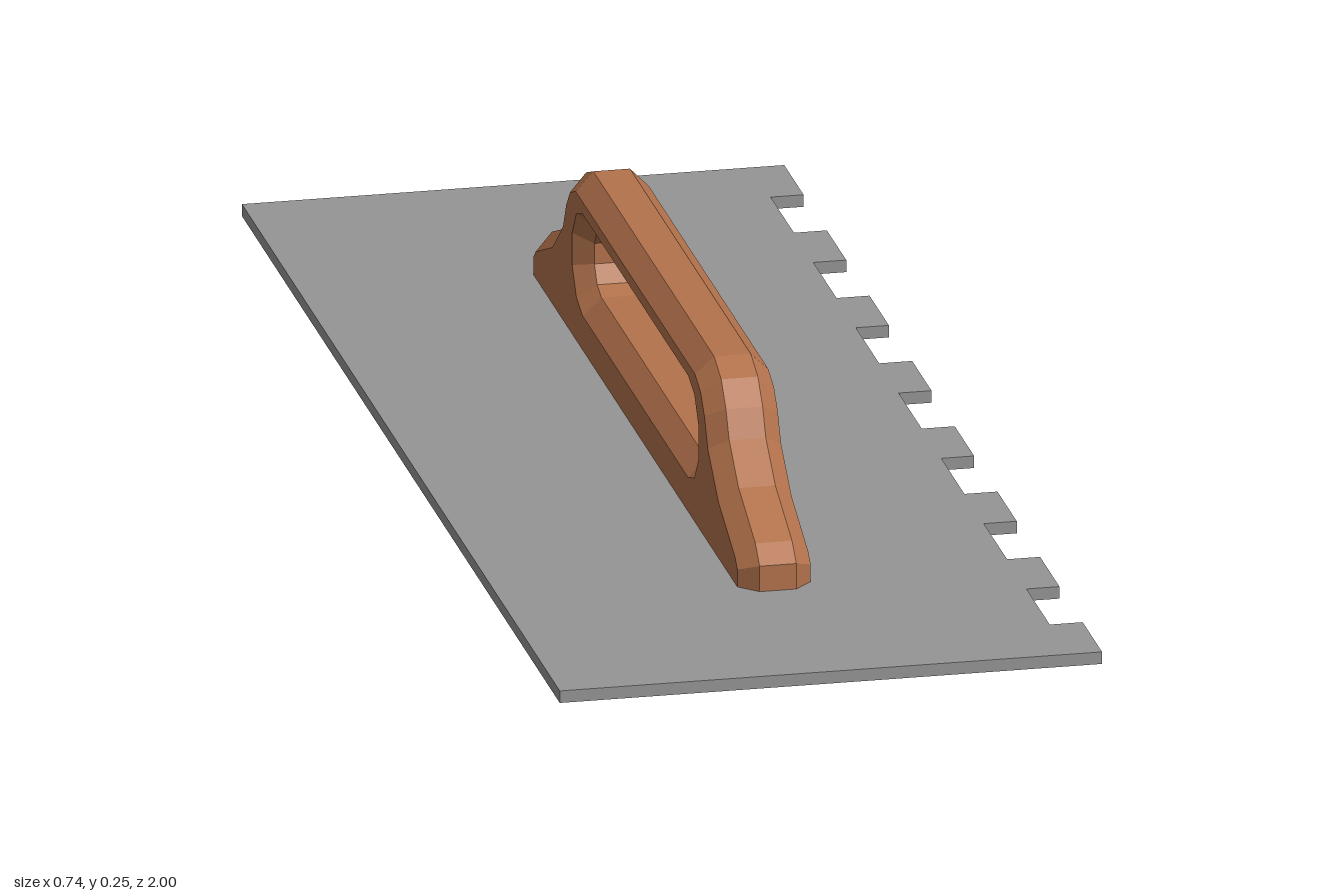
import * as THREE from 'three';

const PLATE_H = 0.017;

// Thin plate with square notches cut along its left (+x) edge
function makePlate() {
  const edge = 0.37, notchX = 0.325, teeth = 8, tooth = 0.122;
  const pitch = (2 - tooth) / (teeth - 1);
  const shape = new THREE.Shape();
  shape.moveTo(-edge, -1);
  for (let i = 0; i < teeth; i++) {
    const z = -1 + i * pitch;
    if (i > 0) shape.lineTo(notchX, z);
    shape.lineTo(edge, z);
    shape.lineTo(edge, z + tooth);
    if (i < teeth - 1) shape.lineTo(notchX, z + tooth);
  }
  shape.lineTo(-edge, 1);
  shape.closePath();
  const geo = new THREE.ExtrudeGeometry(shape, { depth: PLATE_H, bevelEnabled: false });
  geo.rotateX(Math.PI / 2).translate(0, PLATE_H, 0);
  const mesh = new THREE.Mesh(geo, new THREE.MeshStandardMaterial({ color: 0x959595, flatShading: true }));
  mesh.name = 'notchedPlate';
  return mesh;
}

// Chamfered handle: mirrored side profile with a slot for the fingers
function makeHandle() {
  const bevel = 0.025, foot = 0.009;
  const half = [
    [0.667, foot - bevel], [0.667, 0.053], [0.64, 0.076], [0.535, 0.118],
    [0.475, 0.165], [0.455, 0.202], [0.425, 0.234], [0.38, 0.251],
  ];
  const mirrored = half.map(([z, y]) => [-z, y]).reverse();
  const shape = new THREE.Shape([...half, ...mirrored].map(([z, y]) => new THREE.Vector2(z, y)));

  // Slot with faceted round ends
  const r = 0.047, slotY = 0.137, slotZ = 0.328, steps = 5;
  const slot = [];
  for (const side of [1, -1]) {
    for (let i = 0; i <= steps; i++) {
      const a = -Math.PI / 2 + (i / steps) * Math.PI;
      slot.push(new THREE.Vector2(side * (slotZ + r * Math.cos(a)), slotY + side * r * Math.sin(a)));
    }
  }
  shape.holes.push(new THREE.Path(slot));

  const depth = 0.05;
  const geo = new THREE.ExtrudeGeometry(shape, {
    depth, bevelEnabled: true, bevelSegments: 1,
    bevelSize: bevel, bevelThickness: bevel, bevelOffset: -bevel,
  });
  geo.translate(0, 0, -depth / 2).rotateY(-Math.PI / 2);

  // Flatten the underside so the handle seats in the plate
  const pos = geo.attributes.position;
  for (let i = 0; i < pos.count; i++) pos.setY(i, Math.max(pos.getY(i), foot));
  geo.computeVertexNormals();

  const mesh = new THREE.Mesh(geo, new THREE.MeshStandardMaterial({ color: 0xb3724c, flatShading: true }));
  mesh.name = 'handle';
  return mesh;
}

export function createModel() {
  const group = new THREE.Group();
  group.name = 'notchedTrowel';
  group.add(makePlate(), makeHandle());
  return group;
}
